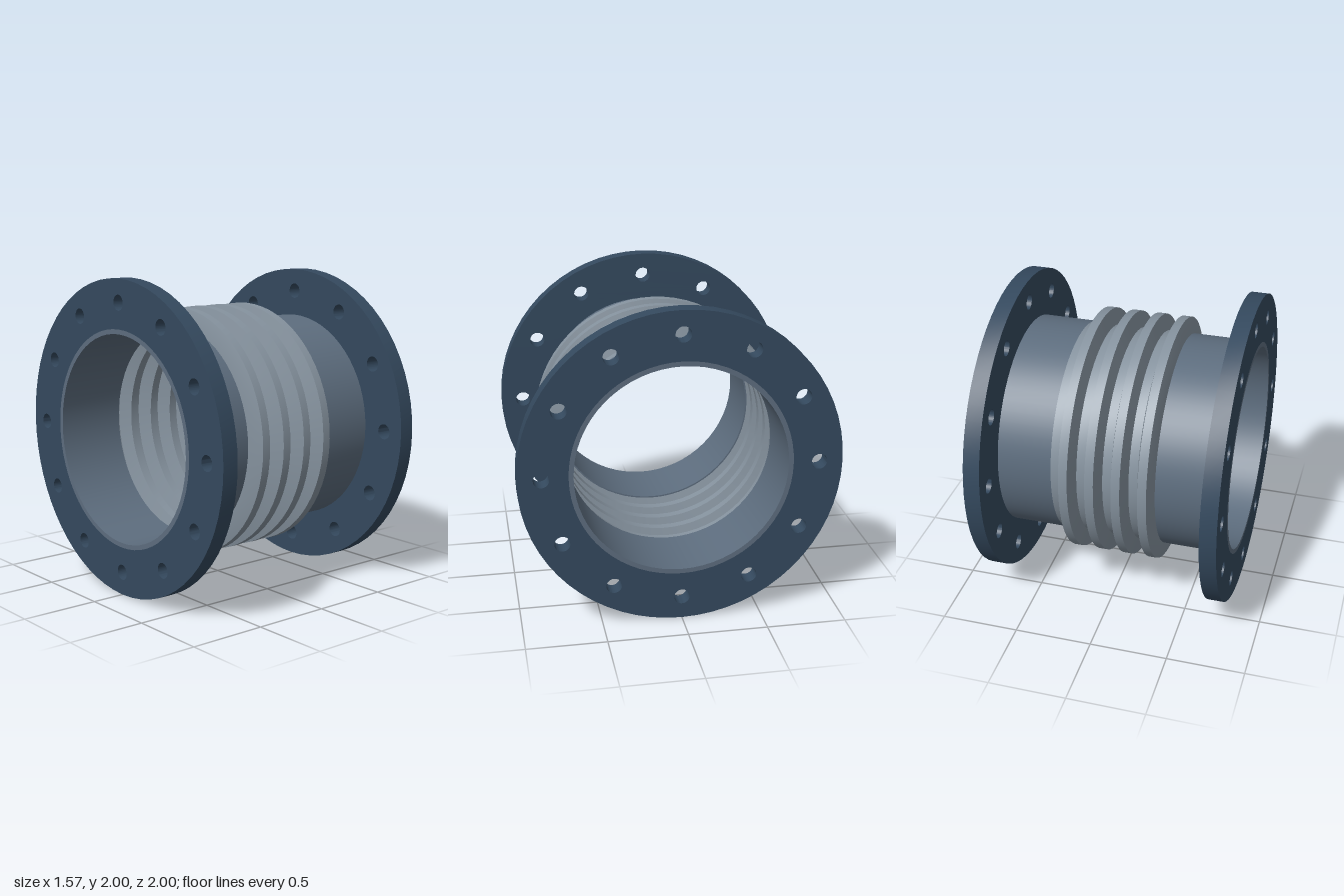
import * as THREE from 'three';
import { toCreasedNormals } from 'three/addons/utils/BufferGeometryUtils.js';

const SEGMENTS = 64;
const PIPE_OUTER = 0.69, PIPE_INNER = 0.66;
const END = 0.785, FLANGE_DEPTH = 0.105, BELLOWS_END = 1 / 3;

const material = (color) => new THREE.MeshStandardMaterial({ color });

// Closed [x, radius] profile revolved around the x axis.
function revolve(profile) {
  const points = [...profile, profile[0]].map(([x, r]) => new THREE.Vector2(r, x));
  const geometry = new THREE.LatheGeometry(points, SEGMENTS).rotateZ(-Math.PI / 2);
  return toCreasedNormals(geometry, 0.4);
}

// Disc with a pipe bore and twelve bolt holes, starting at x = 0.
function flangeGeometry() {
  const shape = new THREE.Shape().absarc(0, 0, 1, 0, Math.PI * 2);
  shape.holes.push(new THREE.Path().absarc(0, 0, PIPE_OUTER, 0, Math.PI * 2, true));
  for (let i = 0; i < 12; i++) {
    const a = (i / 12) * Math.PI * 2;
    shape.holes.push(new THREE.Path().absarc(0.853 * Math.cos(a), 0.853 * Math.sin(a), 0.049, 0, Math.PI * 2, true));
  }
  const geometry = new THREE.ExtrudeGeometry(shape, {
    depth: FLANGE_DEPTH, bevelEnabled: false, curveSegments: SEGMENTS / 2,
  });
  return toCreasedNormals(geometry.rotateY(Math.PI / 2), 0.4);
}

// Thin corrugated sleeve: four trapezoid ridges with flat valleys.
function bellowsGeometry() {
  const crest = 0.795, wall = 0.02, pitch = BELLOWS_END / 2;
  const outer = [];
  for (let i = 0; i < 4; i++) {
    const x = -BELLOWS_END + i * pitch;
    outer.push([x, PIPE_OUTER], [x + pitch / 6, crest], [x + pitch / 2, crest], [x + pitch * 2 / 3, PIPE_OUTER]);
  }
  outer.push([BELLOWS_END, PIPE_OUTER]);
  const inner = outer.map(([x, r]) => [x, r - wall]).reverse();
  return revolve([...outer, ...inner]);
}

export function createModel() {
  const model = new THREE.Group();
  model.name = 'expansionJoint';

  const add = (name, geometry, mat, x = 0) => {
    const mesh = new THREE.Mesh(geometry, mat);
    mesh.name = name;
    mesh.position.x = x;
    model.add(mesh);
  };

  // Bolted flanges
  const flange = flangeGeometry();
  const flangeMaterial = material(0x34495e);
  add('leftFlange', flange, flangeMaterial, END - FLANGE_DEPTH);
  add('rightFlange', flange, flangeMaterial, -END);

  // Pipe stubs, flush with the outer flange faces
  const length = END - BELLOWS_END;
  const pipe = revolve([[0, PIPE_INNER], [0, PIPE_OUTER], [length, PIPE_OUTER], [length, PIPE_INNER]]);
  const pipeMaterial = material(0x5d6d7e);
  add('leftPipe', pipe, pipeMaterial, BELLOWS_END);
  add('rightPipe', pipe, pipeMaterial, -END);

  // Flexible bellows
  add('bellows', bellowsGeometry(), material(0x85929e));

  model.position.y = 1;
  const root = new THREE.Group();
  root.add(model);
  return root;
}
